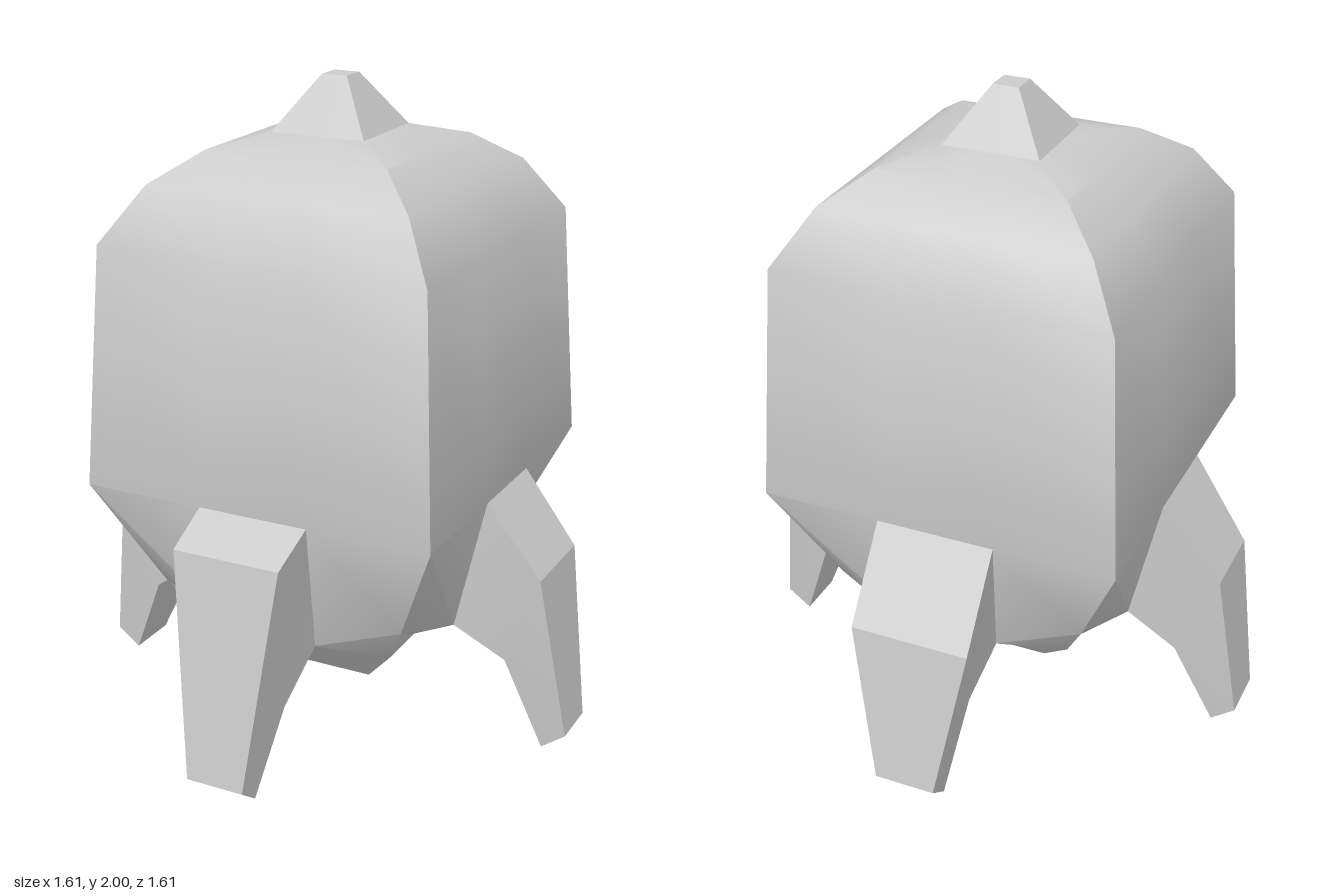
import * as THREE from 'three';
import { toCreasedNormals } from 'three/addons/utils/BufferGeometryUtils.js';

const material = new THREE.MeshStandardMaterial({ color: 0xcccccc });

// Skin a row of closed rings and cap both ends
function loft(rings, crease) {
  const n = rings[0].length, index = [];
  for (let i = 0; i < rings.length - 1; i++) {
    for (let j = 0; j < n; j++) {
      const k = (j + 1) % n;
      const a = i * n + j, b = i * n + k, c = a + n, d = b + n;
      index.push(a, b, c, b, d, c);
    }
  }
  const last = (rings.length - 1) * n;
  for (let k = 1; k < n - 1; k++) {
    index.push(0, k + 1, k, last, last + k, last + k + 1);
  }
  const geometry = new THREE.BufferGeometry();
  geometry.setAttribute('position', new THREE.Float32BufferAttribute(rings.flat(2), 3));
  geometry.setIndex(index);
  return toCreasedNormals(geometry, crease);
}

// Square ring whose side middles may sit at another height and distance than its corners
function squareRing(half, y, midHalf = half, midY = y, w = half * 0.3) {
  const ring = [];
  for (let s = 0; s < 4; s++) {
    for (const [px, py, pz] of [[half, y, -half], [midHalf, midY, -w], [midHalf, midY, w]]) {
      let x = px, z = pz;
      for (let t = 0; t < s; t++) [x, z] = [-z, x];
      ring.push([x, py, z]);
    }
  }
  return ring;
}

// Leg sections: [outer distance, y, half width] for the upper and the lower edge
function legGeometry(knee, inner, widths) {
  const [rootW, kneeW, tipW] = widths;
  const sections = [
    [[0.56, 0.81, rootW], [0.46, 0.39, 0.15]],
    [[...knee, kneeW], [...inner, 0.13]],
    [[0.805, 0.06, tipW], [0.73, 0.005, tipW]],
  ];
  return loft(sections.map(([[u, y, w], [v, q, e]]) =>
    [[u, y, -w], [u, y, w], [v, q, e], [v, q, -e]]), 0.35);
}

export function createModel() {
  const model = new THREE.Group();
  const add = (name, geometry, turn = 0) => {
    const mesh = new THREE.Mesh(geometry, material);
    mesh.name = name;
    mesh.rotation.y = turn;
    model.add(mesh);
  };

  // Rounded square hull, its lower rim dipping between the corners
  add('hull', loft([
    squareRing(0.15, 1.84),
    squareRing(0.29, 1.8),
    squareRing(0.415, 1.71),
    squareRing(0.52, 1.545),
    squareRing(0.56, 0.81),
    squareRing(0.4, 0.46, 0.46, 0.39, 0.15),
    squareRing(0.33, 0.33, 0.33, 0.33, 0.15),
  ], 0.6));

  // Blunt nose tip and tapered nozzle
  add('noseTip', loft([squareRing(0.04, 2), squareRing(0.15, 1.84)], 0.4));
  add('nozzle', loft([squareRing(0.33, 0.33), squareRing(0.2, 0.18)], 0.4));

  // Four legs, each with a slightly different knee
  add('leftLeg', legGeometry([0.73, 0.59], [0.62, 0.3], [0.155, 0.145, 0.08]));
  add('frontLeg', legGeometry([0.715, 0.74], [0.615, 0.26], [0.175, 0.17, 0.092]), -Math.PI / 2);
  add('rightLeg', legGeometry([0.74, 0.56], [0.61, 0.28], [0.16, 0.125, 0.085]), Math.PI);
  add('backLeg', legGeometry([0.745, 0.55], [0.615, 0.285], [0.185, 0.185, 0.095]), Math.PI / 2);

  return model;
}
